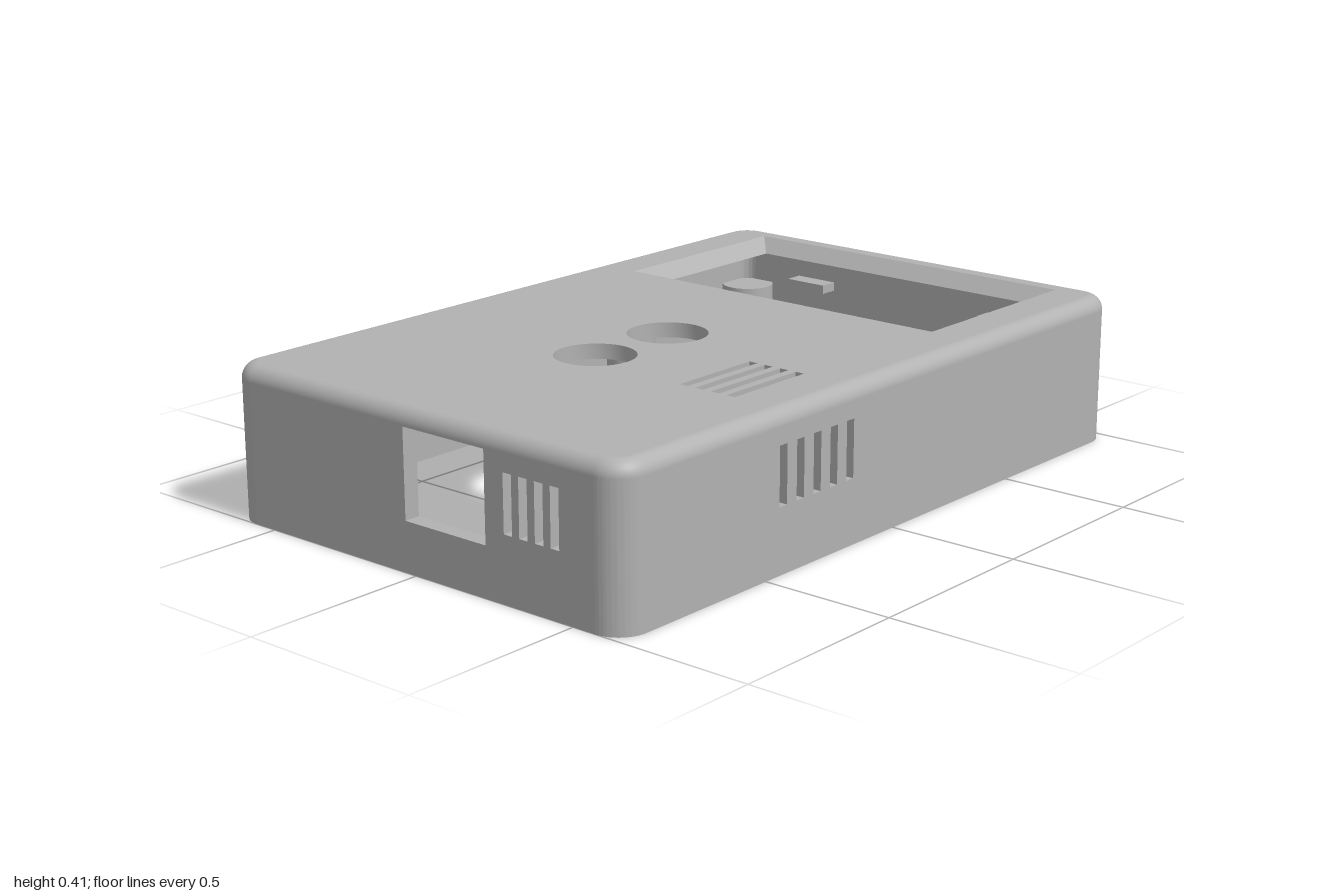
import * as THREE from 'three';
import { toCreasedNormals } from 'three/addons/utils/BufferGeometryUtils.js';

const W = 0.647, L = 1, H = 0.405;      // half width, half length, height
const R = 0.08, F = 0.04;               // corner radius, top edge radius
const CEIL = H - F, LIP = 0.02, WALL = 0.043, STEP = 0.025;

const grey = new THREE.MeshStandardMaterial({ color: 0xb2b2b2 });
grey.name = 'casing grey';

const rectPath = (x0, y0, x1, y1, Type = THREE.Path) => new Type([
  new THREE.Vector2(x0, y0), new THREE.Vector2(x1, y0),
  new THREE.Vector2(x1, y1), new THREE.Vector2(x0, y1)]);

const extrude = (shape, depth) => toCreasedNormals(
  new THREE.ExtrudeGeometry(shape, { depth, bevelEnabled: false, curveSegments: 16 }), 0.5);

export function createModel() {
  const model = new THREE.Group();
  model.name = 'enclosure';
  const add = (name, geometry, x = 0, y = 0, z = 0, parent = model) => {
    const mesh = new THREE.Mesh(geometry, grey);
    mesh.name = name;
    mesh.position.set(x, y, z);
    parent.add(mesh);
    return mesh;
  };

  // Side openings as [u0, y0, u1, y1], u running left to right seen from outside
  const frontHoles = [[-0.03, 0.13, 0.232, 0.36]];
  for (let i = 0; i < 4; i++) {
    const u = 0.291 + i * 0.0483;
    frontHoles.push([u, 0.17, u + 0.026, 0.317]);
  }
  const rightHoles = [];
  for (let i = 0; i < 5; i++) {
    const u = -0.452 + i * 0.064;
    rightHoles.push([u, 0.17, u + 0.028, 0.32]);
  }

  // Walls: outer skin down to the ground, inner skin stopping at the rim step
  const sides = [
    ['front', 0, L, W - R, frontHoles],
    ['right', Math.PI / 2, W, L - R, rightHoles],
    ['back', Math.PI, L, W - R, []],
    ['left', -Math.PI / 2, W, L - R, []]];
  for (const [skin, t0, t1, y0] of [['Outer', 0, LIP, 0], ['Inner', LIP, WALL, STEP]]) {
    for (const [side, angle, d, w, holes] of sides) {
      const shape = rectPath(-w, y0, w, CEIL, THREE.Shape);
      for (const h of holes) shape.holes.push(rectPath(...h));
      const geometry = extrude(shape, t1 - t0);
      geometry.translate(0, 0, d - t1);
      add(side + skin + 'Wall', geometry).rotation.y = angle;
    }
    // Rounded vertical corners
    for (let i = 0; i < 4; i++) {
      const a = i * Math.PI / 2, b = a + Math.PI / 2;
      const shape = new THREE.Shape();
      shape.absarc(0, 0, R - t0, a, b, false);
      shape.absarc(0, 0, R - t1, b, a, true);
      const geometry = extrude(shape, CEIL - y0);
      geometry.rotateX(-Math.PI / 2);
      const sx = i === 0 || i === 3 ? 1 : -1, sz = i < 2 ? -1 : 1;
      add('corner' + skin, geometry, sx * (W - R), y0, sz * (L - R));
    }
  }

  // Rounded top edge, swept around the outline
  const pos = [], nor = [], idx = [], N = 12, M = 8, row = 4 * (N + 1);
  for (let j = 0; j <= M; j++) {
    const p = j / M * Math.PI / 2, c = Math.cos(p), s = Math.sin(p), r = R - F + F * c;
    for (let k = 0; k < 4; k++) for (let i = 0; i <= N; i++) {
      const a = (k + i / N) * Math.PI / 2, ca = Math.cos(a), sa = Math.sin(a);
      const sx = k === 0 || k === 3 ? 1 : -1, sz = k < 2 ? 1 : -1;
      pos.push(sx * (W - R) + r * ca, CEIL + F * s, sz * (L - R) + r * sa);
      nor.push(ca * c, s, sa * c);
    }
  }
  for (let j = 0; j < M; j++) for (let i = 0; i < row; i++) {
    const a = j * row + i, b = j * row + (i + 1) % row;
    idx.push(a, a + row, b, b, a + row, b + row);
  }
  const edge = new THREE.BufferGeometry();
  edge.setAttribute('position', new THREE.Float32BufferAttribute(pos, 3));
  edge.setAttribute('normal', new THREE.Float32BufferAttribute(nor, 3));
  edge.setIndex(idx);
  add('roundedTopEdge', edge);

  // Top plate with window, two round holes and vent slots (shape y = -z)
  const w = W - F, l = L - F, r = R - F;
  const top = new THREE.Shape();
  top.absarc(w - r, l - r, r, 0, Math.PI / 2);
  top.absarc(-w + r, l - r, r, Math.PI / 2, Math.PI);
  top.absarc(-w + r, -l + r, r, Math.PI, Math.PI * 1.5);
  top.absarc(w - r, -l + r, r, Math.PI * 1.5, Math.PI * 2);
  top.holes.push(rectPath(-0.508, 0.345, 0.508, 0.925));
  for (const z of [0.1, 0.373]) {
    const hole = new THREE.Path();
    hole.absarc(0, -z, 0.105, 0, Math.PI * 2);
    top.holes.push(hole);
  }
  for (let i = 0; i < 4; i++) {
    const x = 0.33 + i * 0.048;
    top.holes.push(rectPath(x, -0.437, x + 0.025, -0.175));
  }
  const plate = extrude(top, F);
  plate.rotateX(-Math.PI / 2);
  add('topPlate', plate, 0, CEIL, 0);

  // Sloped window frame: four wedge sides between the outer and inner openings
  const ring = (x, z0, z1, y) => [[-x, y, z1], [x, y, z1], [x, y, z0], [-x, y, z0]];
  const outerTop = ring(0.508, -0.925, -0.345, H);
  const outerLow = ring(0.508, -0.925, -0.345, CEIL);
  const innerLow = ring(0.468, -0.885, -0.385, CEIL);
  const tri = [];
  const quad = (a, b, c, d) => tri.push(...a, ...b, ...c, ...a, ...c, ...d);
  for (let i = 0; i < 4; i++) {
    const n = (i + 1) % 4;
    quad(outerTop[i], outerTop[n], innerLow[n], innerLow[i]);
    quad(innerLow[i], innerLow[n], outerLow[n], outerLow[i]);
  }
  const frame = new THREE.BufferGeometry();
  frame.setAttribute('position', new THREE.Float32BufferAttribute(tri, 3));
  frame.computeVertexNormals();
  add('windowFrame', frame);

  // Hollow screw posts, open at the lower end
  const post = (name, x, z, y0, y1, radius, bore, segments = 32) => {
    const depth = (y1 - y0) * 0.8;
    const profile = [[0, depth], [bore, depth], [bore, 0], [radius, 0], [radius, y1 - y0], [0, y1 - y0]]
      .map(p => new THREE.Vector2(...p));
    add(name, toCreasedNormals(new THREE.LatheGeometry(profile, segments), 0.5), x, y0, z);
  };
  for (const x of [-0.212, 0.435]) for (const z of [0.002, 0.875])
    post('boardPost', x, z, 0.135, CEIL, 0.064, 0.032);
  for (const s of [-1, 1]) {
    post('cornerPost', s * 0.55, -0.9, 0.045, 0.26, 0.075, 0.032);
    post('displayPost', s * 0.48, -0.12, 0.295, CEIL, 0.062, 0.03, 6);
    // Clips on the back wall
    add('backClip', new THREE.BoxGeometry(0.13, 0.025, 0.055), s * 0.335, 0.283, -0.932);
  }
  // Rib under the top beside the window
  add('sideRib', new THREE.BoxGeometry(0.035, 0.03, 0.33), -0.59, CEIL - 0.015, -0.37);

  return model;
}
